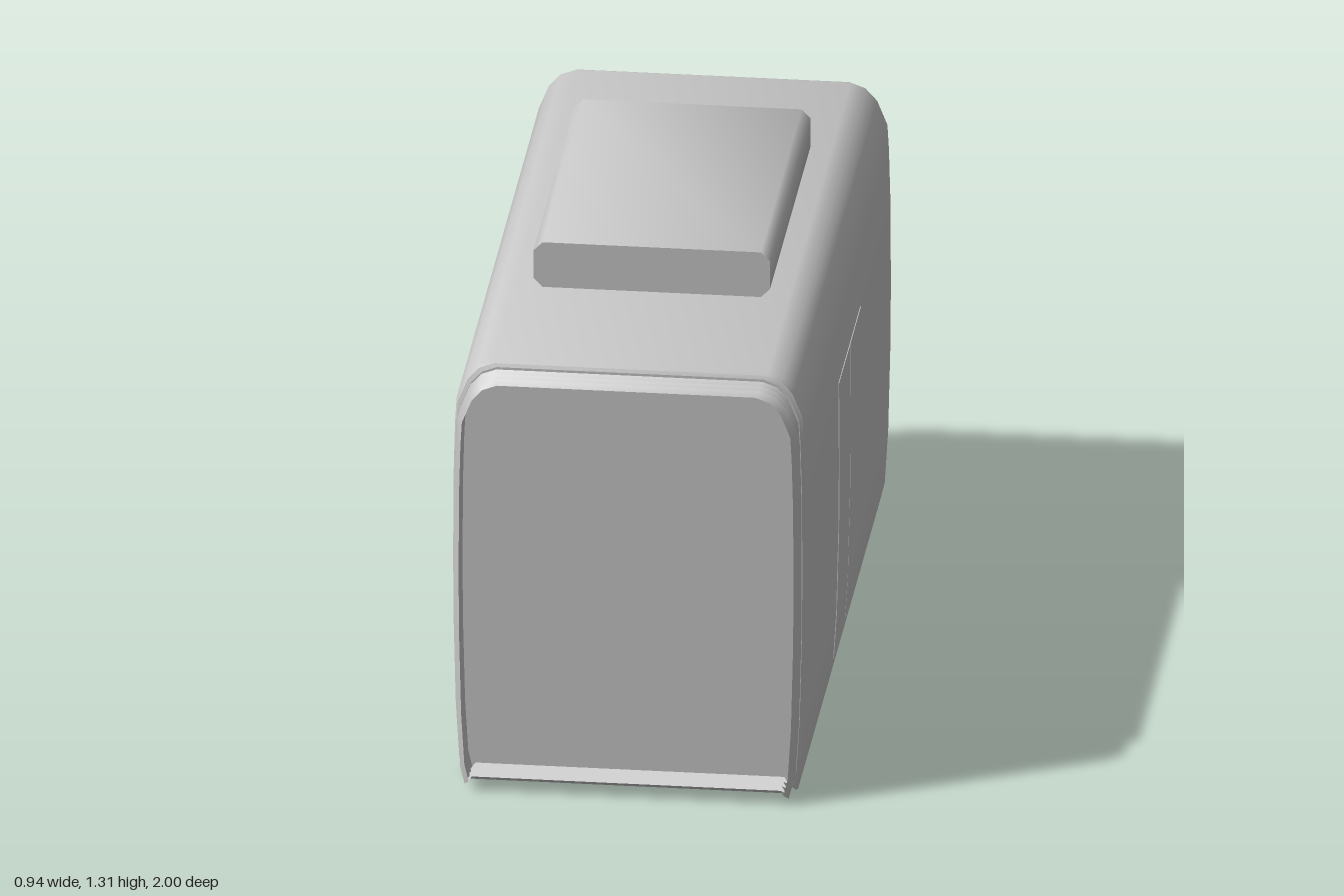
import * as THREE from 'three';
import { toCreasedNormals } from 'three/addons/utils/BufferGeometryUtils.js';

// Right half of the carriage cross-section, bottom to top
const HALF = [
  [0.43, 0.015], [0.438, 0], [0.45, 0.05], [0.459, 0.2], [0.465, 0.45], [0.466, 0.62],
  [0.465, 0.85], [0.461, 1.0], [0.457, 1.07], [0.43, 1.137], [0.4, 1.17], [0.36, 1.185],
];
const MID_Y = 0.6;

// Closed cross-section, counterclockwise seen from the front, shrunk by an inset
function section(inset) {
  const kx = 1 - inset / 0.466, ky = 1 - inset / 0.59;
  const right = HALF.map(([x, y]) => new THREE.Vector2(x * kx, MID_Y + (y - MID_Y) * ky));
  const left = right.map((p) => new THREE.Vector2(-p.x, p.y)).reverse();
  return [...right, ...left];
}

// Skin through rings of [z, inset], with z rising
function loft(rings) {
  const pos = [], index = [];
  const n = HALF.length * 2;
  for (const [z, inset] of rings) for (const p of section(inset)) pos.push(p.x, p.y, z);
  for (let j = 0; j < rings.length - 1; j++) {
    for (let i = 0; i < n; i++) {
      const k = (i + 1) % n;
      const a = j * n + i, b = j * n + k, c = b + n, d = a + n;
      index.push(a, b, c, a, c, d);
    }
  }
  const geo = new THREE.BufferGeometry();
  geo.setAttribute('position', new THREE.Float32BufferAttribute(pos, 3));
  geo.setIndex(index);
  return toCreasedNormals(geo, 0.65);
}

// Outer wall x at a given height
function wallX(y) {
  for (let i = 2; i < HALF.length - 1; i++) {
    const [x0, y0] = HALF[i], [x1, y1] = HALF[i + 1];
    if (y <= y1) return x0 + (x1 - x0) * (y - y0) / (y1 - y0);
  }
  return 0;
}

export function createModel() {
  const model = new THREE.Group();
  model.name = 'carriageSection';
  const grey = new THREE.MeshStandardMaterial({ color: 0xc8c8c8 });
  grey.name = 'grey';
  const openGrey = grey.clone();
  openGrey.name = 'grey';
  openGrey.side = THREE.DoubleSide;

  const add = (name, geo, mat = grey) => {
    const mesh = new THREE.Mesh(geo, mat);
    mesh.name = name;
    model.add(mesh);
    return mesh;
  };

  // Long shell with softly bevelled ends
  add('bodyShell', loft([[-1, 0.014], [-0.994, 0.005], [-0.98, 0], [0.89, 0], [0.905, 0.005], [0.91, 0.014]]));

  // Flat end walls
  const wall = new THREE.ShapeGeometry(new THREE.Shape(section(0.014)));
  add('frontWall', wall).position.z = 0.91;
  const back = add('backWall', wall);
  back.position.z = -1;
  back.rotation.y = Math.PI;

  // Open pleated gangway at the front
  const pleats = [];
  for (let i = 0; i <= 6; i++) pleats.push([0.91 + i * 0.015, i % 2 ? 0.014 : 0.027]);
  add('gangwayBellows', loft(pleats), openGrey);

  // Roof equipment box with chamfered long edges
  const w = 0.31, c = 0.024, y0 = 1.185, y1 = 1.312;
  const roofShape = new THREE.Shape([
    [-w + c, y0], [w - c, y0], [w, y0 + c], [w, y1 - c],
    [w - c, y1], [-w + c, y1], [-w, y1 - c], [-w, y0 + c],
  ].map(([x, y]) => new THREE.Vector2(x, y)));
  const roofGeo = new THREE.ExtrudeGeometry(roofShape, { depth: 0.925, bevelEnabled: false });
  add('roofUnit', toCreasedNormals(roofGeo, 0.9)).position.z = -0.51;

  // Double doors on each side: thin leaves that follow the wall
  const heights = [0.07, 0.2, 0.45, 0.62, 0.855];
  for (const side of [1, -1]) {
    const outer = heights.map((y) => new THREE.Vector2(side * (wallX(y) + 0.002), y));
    const inner = heights.map((y) => new THREE.Vector2(side * (wallX(y) - 0.004), y)).reverse();
    const leaf = toCreasedNormals(new THREE.ExtrudeGeometry(
      new THREE.Shape([...outer, ...inner]), { depth: 0.246, bevelEnabled: false }), 0.5);
    for (const z of [-0.295, -0.043]) {
      add(side > 0 ? 'leftDoorLeaf' : 'rightDoorLeaf', leaf).position.z = z;
    }
  }
  return model;
}
